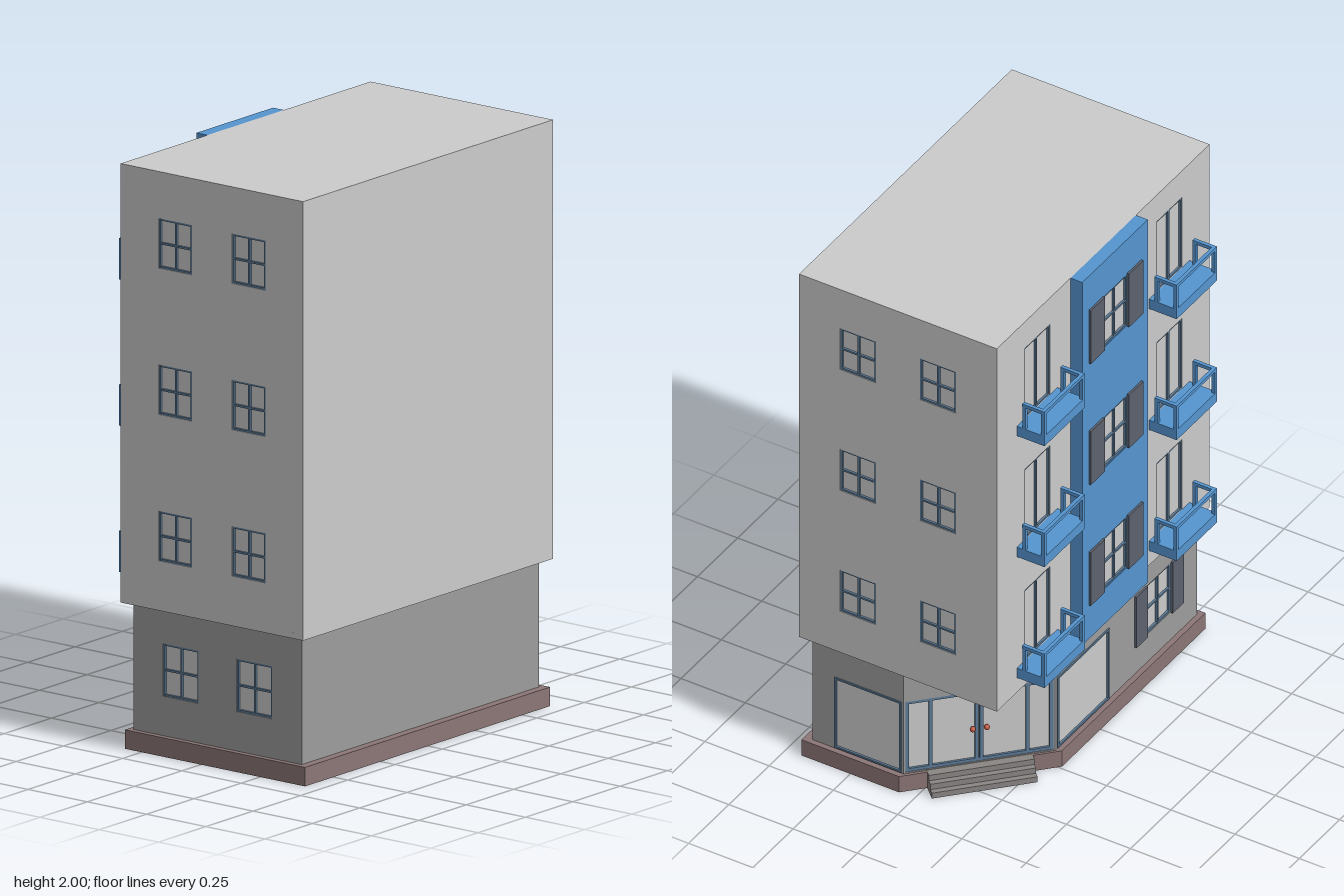
import * as THREE from 'three';

const material = (color) => new THREE.MeshStandardMaterial({ color });
const MAT = {
  wall: material(0xcccccc),
  ground: material(0x9d9d9d),
  plinth: material(0x8c7676),
  step: material(0x8a8684),
  blue: material(0x5595d0),
  frame: material(0x5d7c98),
  glass: material(0xdddddd),
  shutter: material(0x5c626e),
  handle: material(0xc0553f),
};

function box(parent, name, mat, w, h, d, x, y, z) {
  const mesh = new THREE.Mesh(new THREE.BoxGeometry(w, h, d), mat);
  mesh.name = name;
  mesh.position.set(x, y, z);
  parent.add(mesh);
  return mesh;
}

// Upright prism over a floor outline of [x, z] points
function prism(parent, name, mat, outline, y0, y1) {
  const shape = new THREE.Shape(outline.map(([x, z]) => new THREE.Vector2(x, -z)));
  const geo = new THREE.ExtrudeGeometry(shape, { depth: y1 - y0, bevelEnabled: false });
  const mesh = new THREE.Mesh(geo.rotateX(-Math.PI / 2), mat);
  mesh.position.y = y0;
  mesh.name = name;
  parent.add(mesh);
}

function rectangle(Type, x0, y0, x1, y1) {
  return new Type([[x0, y0], [x1, y0], [x1, y1], [x0, y1]].map((p) => new THREE.Vector2(...p)));
}

// Glazing with a border frame, dividing bars and optional shutters
function glazing(parent, o) {
  const g = new THREE.Group();
  const t = o.bar ?? 0.007;
  const z = o.inset ?? -0.01;
  g.name = o.name;
  g.position.set(o.x, o.y, 0);
  parent.add(g);
  box(g, 'glass', MAT.glass, o.w, o.h, 0.006, 0, 0, z - 0.003);
  for (const x of [-(o.w - t) / 2, ...(o.cols ?? []), (o.w - t) / 2]) {
    box(g, 'uprightBar', MAT.frame, t, o.h, 0.01, x, 0, z + 0.003);
  }
  for (const y of [-(o.h - t) / 2, ...(o.rows ?? []), (o.h - t) / 2]) {
    box(g, 'crossBar', MAT.frame, o.w, t, 0.009, 0, y, z + 0.003);
  }
  if (o.shutter) {
    for (const s of [-1, 1]) {
      box(g, 'shutter', MAT.shutter, o.shutter, o.h + 0.01, 0.008, s * (o.w + o.shutter) / 2, 0, 0.004);
    }
  }
}

// Wall from p to q with real openings; local +z points outwards
function wall(parent, name, mat, p, q, y0, y1, openings = [], depth = 0.02) {
  const g = new THREE.Group();
  const dx = q[0] - p[0], dz = q[1] - p[1], len = Math.hypot(dx, dz);
  g.name = name;
  g.position.set((p[0] + q[0]) / 2, 0, (p[1] + q[1]) / 2);
  g.rotation.y = Math.atan2(-dz, dx);
  const shape = rectangle(THREE.Shape, -len / 2, y0, len / 2, y1);
  for (const o of openings) {
    shape.holes.push(rectangle(THREE.Path, o.x - o.w / 2, o.y - o.h / 2, o.x + o.w / 2, o.y + o.h / 2));
    glazing(g, o);
  }
  const geo = new THREE.ExtrudeGeometry(shape, { depth, bevelEnabled: false }).translate(0, 0, -depth);
  const mesh = new THREE.Mesh(geo, mat);
  mesh.name = 'wallSlab';
  g.add(mesh);
  parent.add(g);
  return g;
}

const crossWindow = (x, y, w = 0.14, h = 0.17, extra = {}) =>
  ({ name: 'window', x, y, w, h, cols: [0], rows: [0], ...extra });

function balcony(parent, x, y) {
  const g = new THREE.Group();
  g.name = 'balcony';
  g.position.set(x, y, -0.33);
  parent.add(g);
  const w = 0.25, d = 0.107, t = 0.013;
  box(g, 'balconyFloor', MAT.blue, w, 0.04, d, 0, 0.02, -d / 2);
  box(g, 'frontRail', MAT.blue, w, t, t, 0, 0.134, -d + t / 2);
  for (const s of [-1, 1]) {
    const px = s * (w - t) / 2;
    box(g, 'sideRail', MAT.blue, t, t, d - 0.02, px, 0.134, -(d + 0.02) / 2);
    for (const z of [-0.027, -d + t / 2]) box(g, 'railPost', MAT.blue, t, 0.1, t, px, 0.089, z);
  }
}

export function createModel() {
  const model = new THREE.Group();
  model.name = 'cornerBuilding';
  const floors = [0.75, 1.25, 1.75];

  // Plinth with a cut corner
  prism(model, 'plinth', MAT.plinth,
    [[-0.65, 0.44], [0.645, 0.44], [0.645, 0.06], [0.24, -0.32], [-0.65, -0.32]], 0, 0.065);

  // Ground floor
  const A = [-0.63, 0.41], B = [0.625, 0.41], C = [0.625, 0.055], D = [0.25, -0.3], E = [-0.63, -0.3];
  const low = [0.06, 0.5];
  const shop = (x, w) => ({ name: 'shopWindow', x, y: 0.215, w, h: 0.29, inset: -0.003 });
  wall(model, 'groundFrontWall', MAT.ground, A, B, ...low);
  wall(model, 'groundRightWall', MAT.ground, B, C, ...low, [shop(0.04, 0.26)]);
  const entrance = wall(model, 'entranceWall', MAT.ground, C, D, ...low, [{
    name: 'entranceDoors', x: 0, y: 0.215, w: 0.504, h: 0.29, bar: 0.012,
    cols: [-0.165, -0.008, 0.008, 0.165],
  }]);
  wall(model, 'groundBackWall', MAT.ground, D, E, ...low,
    [shop(-0.27, 0.32), crossWindow(0.2, 0.28, 0.155, 0.2, { shutter: 0.07 })]);
  wall(model, 'groundLeftWall', MAT.ground, E, A, ...low,
    [-0.155, 0.155].map((x) => crossWindow(x, 0.29, 0.15, 0.18)));

  // Door knobs and entrance steps
  for (const x of [-0.024, 0.024]) {
    const knob = new THREE.Mesh(new THREE.SphereGeometry(0.01, 12, 8), MAT.handle);
    knob.name = 'doorKnob';
    knob.position.set(x, 0.21, 0.006);
    entrance.add(knob);
  }
  [0.07, 0.05, 0.03].forEach((out, i) =>
    box(entrance, 'step', MAT.step, 0.36, 0.022, out, 0, 0.011 + i * 0.022, out / 2));

  // Upper storeys: flat caps at roof and overhang, walls between
  const F = [-0.66, 0.44], G = [0.66, 0.44], H = [0.66, -0.33], I = [-0.66, -0.33];
  prism(model, 'roof', MAT.wall, [F, G, H, I], 1.98, 2);
  prism(model, 'overhangFloor', MAT.wall, [F, G, H, I], 0.5, 0.52);
  const high = [0.52, 1.98];
  const sideWindows = floors.flatMap((y) => [-0.155, 0.155].map((x) => crossWindow(x, y + 0.005)));
  const balconyDoors = floors.flatMap((y) => [-0.41, 0.41].map((x) =>
    ({ name: 'balconyDoor', x, y: y - 0.005, w: 0.16, h: 0.29, cols: [0] })));
  wall(model, 'frontWall', MAT.wall, F, G, ...high);
  wall(model, 'rightWall', MAT.wall, G, H, ...high, sideWindows);
  wall(model, 'backWall', MAT.wall, H, I, ...high, balconyDoors);
  wall(model, 'leftWall', MAT.wall, I, F, ...high, sideWindows);

  // Blue bay with shuttered windows
  wall(model, 'blueBay', MAT.blue, [0.203, -0.376], [-0.203, -0.376], 0.5, 2,
    floors.map((y) => crossWindow(0, y, 0.15, 0.21, { shutter: 0.088 })), 0.046);

  // Balconies on both sides of the bay
  for (const y of floors) for (const x of [-0.41, 0.41]) balcony(model, x, y - 0.19);

  return model;
}
